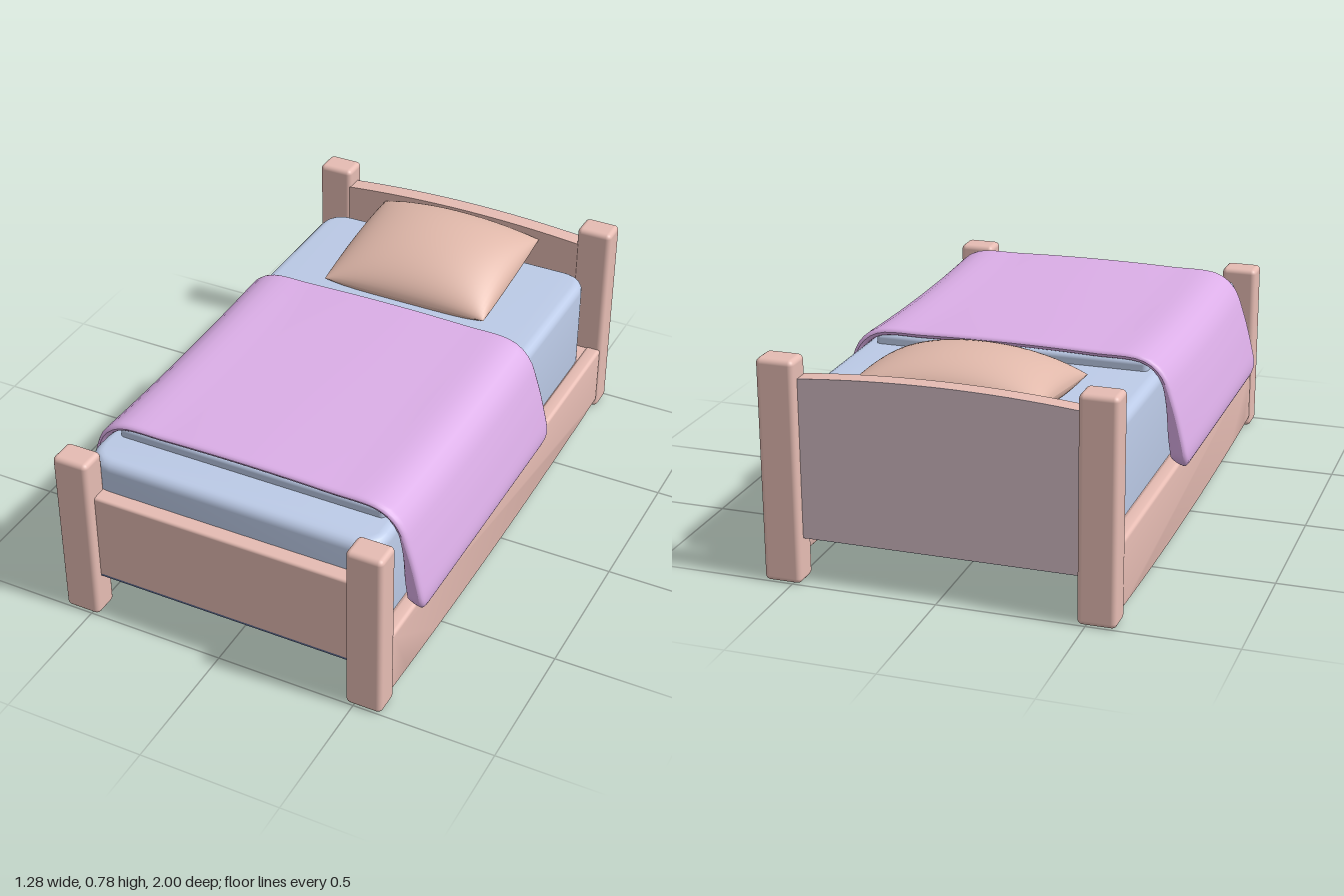
import * as THREE from 'three';
import { toCreasedNormals } from 'three/addons/utils/BufferGeometryUtils.js';
import { RoundedBoxGeometry } from 'three/addons/geometries/RoundedBoxGeometry.js';

const material = (name, color) => {
  const m = new THREE.MeshStandardMaterial({ color });
  m.name = name;
  return m;
};

// Closed soft sheet: an upper and a lower grid that meet along the border.
// fn(u, v, side) gives a point; u and v run from -1 to 1, side is 1 or -1.
function softSheet(fn, nu, nv) {
  const pos = [], index = [];
  const spread = (k, n) => Math.sin((k / n - 0.5) * Math.PI);
  for (const side of [1, -1]) {
    const base = pos.length / 3;
    for (let i = 0; i <= nu; i++)
      for (let j = 0; j <= nv; j++) pos.push(...fn(spread(i, nu), spread(j, nv), side));
    for (let i = 0; i < nu; i++)
      for (let j = 0; j < nv; j++) {
        const a = base + i * (nv + 1) + j, b = a + 1, c = a + nv + 1, d = c + 1;
        if (side > 0) index.push(a, b, c, b, d, c);
        else index.push(a, c, b, b, c, d);
      }
  }
  const g = new THREE.BufferGeometry();
  g.setAttribute('position', new THREE.Float32BufferAttribute(pos, 3));
  g.setIndex(index);
  g.computeVertexNormals();
  return g;
}

export function createModel() {
  const group = new THREE.Group();
  const wood = material('pink wood', 0xe6bcb3);
  const backWood = material('grey pink wood', 0xd2bbc3);
  const blue = material('mattress blue', 0xbfceeb);
  const purple = material('blanket purple', 0xdfb1eb);
  const pillowPink = material('pillow pink', 0xe0b8aa);
  const dark = material('underside navy', 0x5f6d92);

  const add = (name, geometry, mat, x = 0, y = 0, z = 0) => {
    const mesh = new THREE.Mesh(geometry, mat);
    mesh.name = name;
    mesh.position.set(x, y, z);
    group.add(mesh);
    return mesh;
  };

  // Corner posts and side rails
  const railShape = new THREE.Shape();
  railShape.moveTo(-0.91, 0.265);
  railShape.lineTo(-0.91, 0.03);
  railShape.quadraticCurveTo(0, -0.015, 0.91, 0.03);
  railShape.lineTo(0.91, 0.265);
  railShape.closePath();
  const railGeometry = new THREE.ExtrudeGeometry(railShape, {
    depth: 0.03, bevelSize: 0.014, bevelThickness: 0.014, bevelOffset: -0.014, bevelSegments: 4, curveSegments: 16,
  }).translate(0, 0, -0.015).rotateY(Math.PI / 2);
  for (const [side, sx] of [['left', 1], ['right', -1]]) {
    add(side + 'FrontPost', new RoundedBoxGeometry(0.13, 0.635, 0.1, 3, 0.018), wood, sx * 0.535, 0.3175, 0.95);
    add(side + 'BackPost', new RoundedBoxGeometry(0.13, 0.77, 0.1, 3, 0.018), wood, sx * 0.535, 0.385, -0.95);
    add(side + 'Rail', toCreasedNormals(railGeometry, 0.6), wood, sx * 0.567, 0, 0);
  }

  // Footboard, and headboard with a gently arched top
  add('footboard', new RoundedBoxGeometry(0.96, 0.33, 0.065, 3, 0.01), wood, 0, 0.32, 0.9325);
  const headShape = new THREE.Shape();
  headShape.moveTo(-0.48, 0.155);
  headShape.lineTo(0.48, 0.155);
  headShape.lineTo(0.48, 0.702);
  headShape.quadraticCurveTo(0, 0.75, -0.48, 0.702);
  headShape.closePath();
  const headPanel = (depth) => new THREE.ExtrudeGeometry(headShape, { depth, bevelEnabled: false, curveSegments: 16 });
  add('headboard', toCreasedNormals(headPanel(0.057), 0.6), wood, 0, 0, -0.962);
  add('headboardBack', toCreasedNormals(headPanel(0.004), 0.6), backWood, 0, 0, -0.966);

  // Bed deck between the rails, with a dark panel underneath
  add('deck', new THREE.BoxGeometry(1.12, 0.1, 1.82), wood, 0, 0.211, 0);
  add('basePanel', new THREE.BoxGeometry(1.12, 0.008, 1.928), dark, 0, 0.157, 0);

  // Mattress: rounded rectangle with rolled edges
  const bevel = 0.035, w = 0.54 - bevel, l = 0.894 - bevel, r = 0.065;
  const plan = new THREE.Shape();
  plan.moveTo(-w + r, -l);
  plan.lineTo(w - r, -l);
  plan.quadraticCurveTo(w, -l, w, -l + r);
  plan.lineTo(w, l - r);
  plan.quadraticCurveTo(w, l, w - r, l);
  plan.lineTo(-w + r, l);
  plan.quadraticCurveTo(-w, l, -w, l - r);
  plan.lineTo(-w, -l + r);
  plan.quadraticCurveTo(-w, -l, -w + r, -l);
  const mattress = new THREE.ExtrudeGeometry(plan, {
    depth: 0.36, bevelSize: bevel, bevelThickness: bevel, bevelSegments: 5, curveSegments: 6,
  }).rotateX(-Math.PI / 2);
  add('mattress', toCreasedNormals(mattress, 0.7), blue, 0, 0.17 + bevel, 0.018);

  // Blue lining between mattress and blanket
  add('blanketLining', new RoundedBoxGeometry(0.98, 0.058, 1.03, 3, 0.018), blue, 0, 0.609, 0.247);

  // Blanket draped across the mattress, padded where it hangs down the sides
  const half = [[0.3, 0.643], [0.48, 0.635], [0.54, 0.59], [0.577, 0.5], [0.608, 0.39], [0.624, 0.31], [0.618, 0.265]];
  const drape = new THREE.CatmullRomCurve3([
    ...half.map(([x, y]) => new THREE.Vector3(-x, y, 0)).reverse(),
    new THREE.Vector3(0, 0.647, 0),
    ...half.map(([x, y]) => new THREE.Vector3(x, y, 0)),
  ]);
  const round = (t, edge) => Math.sqrt(Math.max(0, 1 - Math.max(0, (Math.abs(t) - 1 + edge) / edge) ** 2));
  add('blanket', softSheet((u, v, side) => {
    const reach = 1 - 0.065 * (1 - round(v, 0.11));
    const t = THREE.MathUtils.clamp(0.5 + 0.5 * u * reach, 0, 1);
    const p = drape.getPointAt(t), d = drape.getTangentAt(t);
    const padding = side > 0 ? 0.014 : -0.014 - 0.036 * THREE.MathUtils.smoothstep(Math.abs(u), 0.65, 0.95);
    const h = padding * round(u, 0.03) * round(v, 0.04);
    const sag = (0.02 * v * v - 0.01) * (1 - u * u);
    return [p.x - d.y * h, p.y + d.x * h + sag, 0.247 + 0.53 * v];
  }, 72, 40), purple);

  // Pillow resting on the mattress and leaning up towards the headboard
  add('pillow', softSheet((u, v, side) => {
    const puff = ((1 - u * u) * (1 - v * v)) ** 0.5;
    const y = 0.6475 - 0.0325 * v + (side > 0 ? 0.125 : -0.1) * puff;
    return [0.32 * u, Math.max(y, 0.597), -0.65 + 0.255 * v];
  }, 32, 32), pillowPink);

  return group;
}
